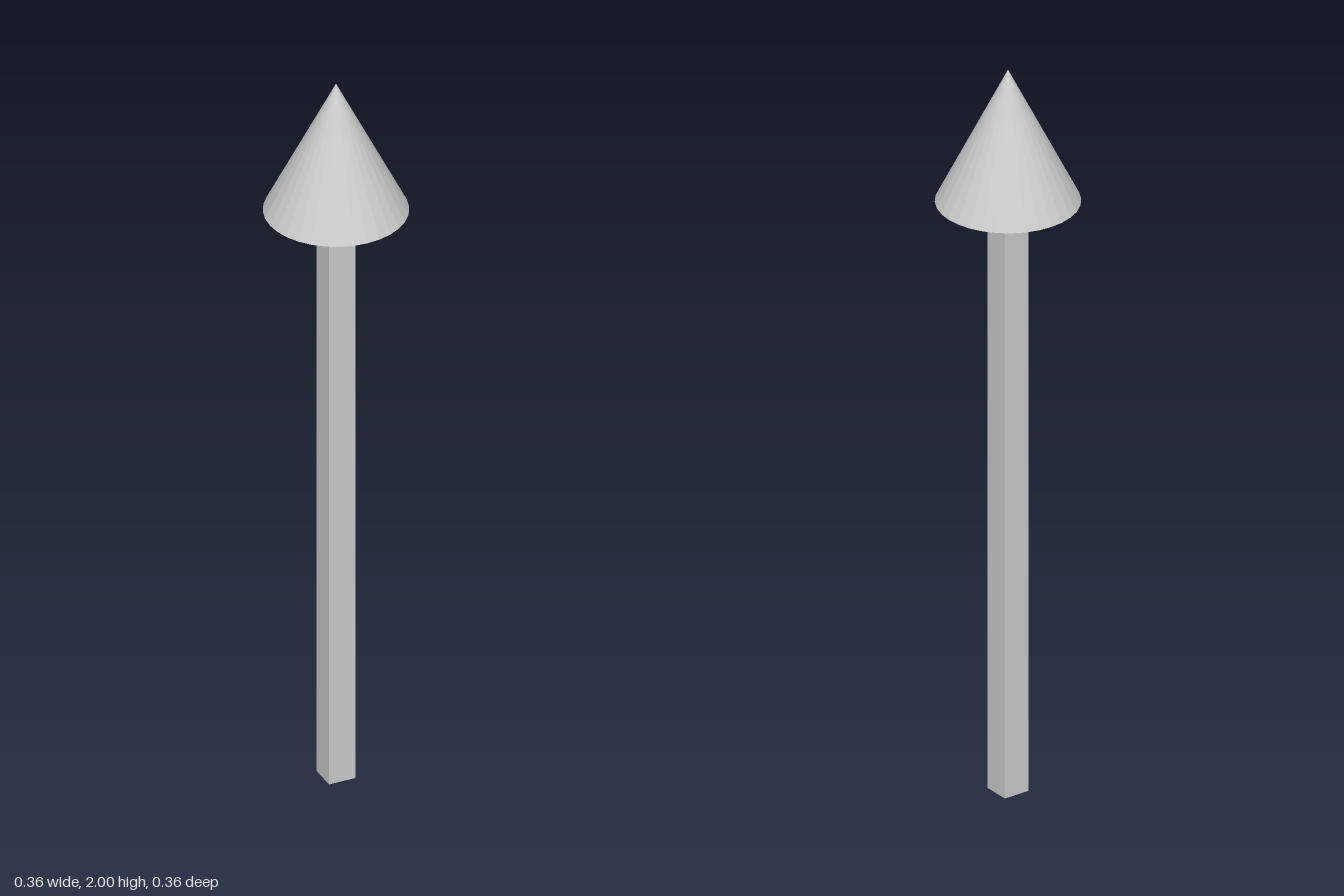
import * as THREE from 'three';

const SHAFT_WIDTH = 0.0727;
const SHAFT_HEIGHT = 1.6364;
const HEAD_RADIUS = 0.1818;
const HEAD_HEIGHT = 0.3636;

export function createModel() {
  const group = new THREE.Group();
  group.name = 'arrow';
  const material = new THREE.MeshStandardMaterial({ color: 0xcccccc, flatShading: true });

  // Square shaft standing on the ground
  const shaft = new THREE.Mesh(
    new THREE.BoxGeometry(SHAFT_WIDTH, SHAFT_HEIGHT, SHAFT_WIDTH), material);
  shaft.name = 'shaft';
  shaft.position.y = SHAFT_HEIGHT / 2;

  // Faceted, closed cone resting on the shaft
  const head = new THREE.Mesh(
    new THREE.ConeGeometry(HEAD_RADIUS, HEAD_HEIGHT, 32), material);
  head.name = 'arrowhead';
  head.position.y = SHAFT_HEIGHT + HEAD_HEIGHT / 2;

  group.add(shaft, head);
  return group;
}
